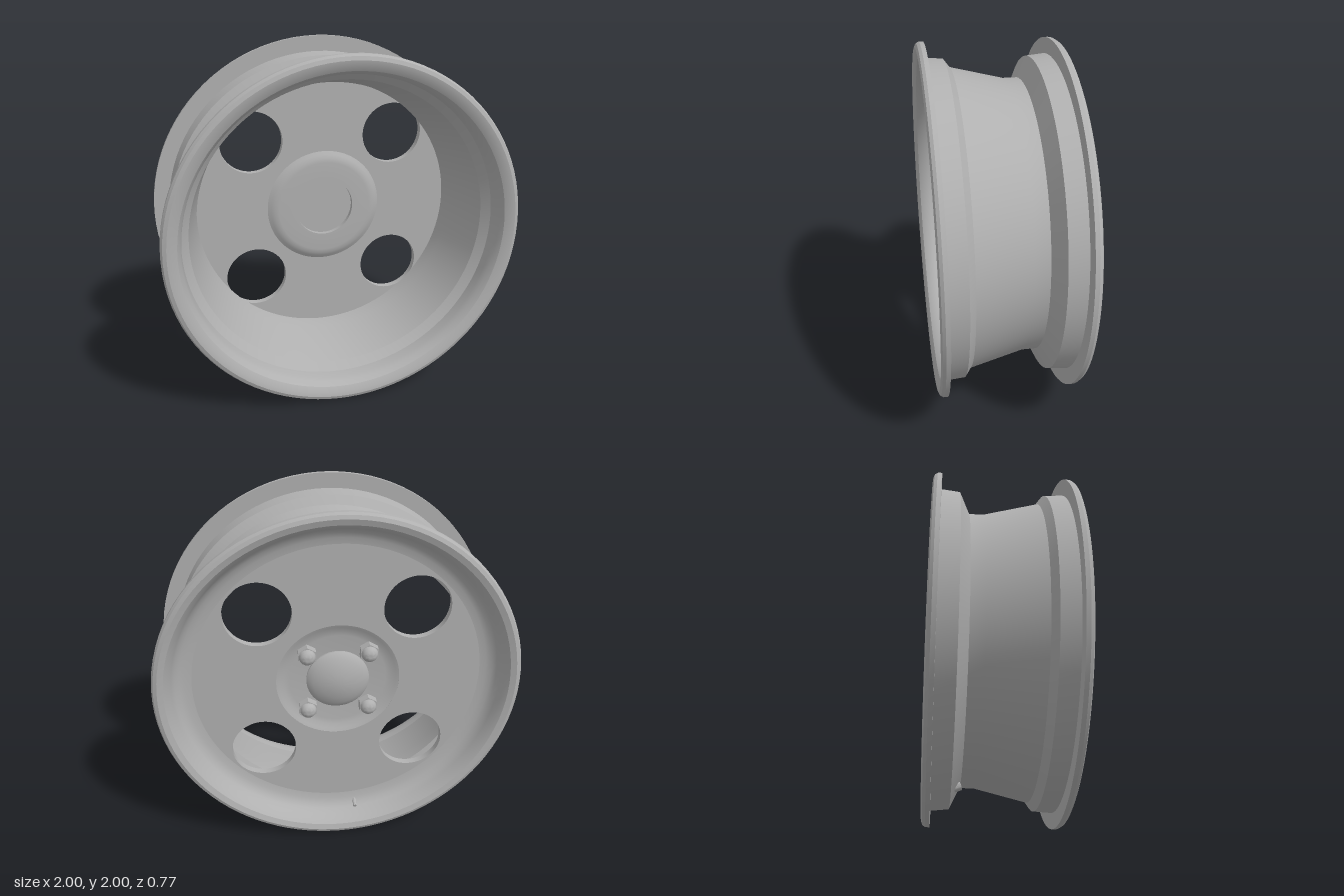
import * as THREE from 'three';
import { toCreasedNormals } from 'three/addons/utils/BufferGeometryUtils.js';

const metal = new THREE.MeshStandardMaterial({ color: 0xb0b0b0 });
metal.name = 'grey metal';

function part(name, geometry, crease = 0.45) {
  const mesh = new THREE.Mesh(toCreasedNormals(geometry, crease), metal);
  mesh.name = name;
  return mesh;
}

// Revolve a [radius, z] profile around the z axis
function revolve(profile, segments = 96) {
  const points = profile.map(([r, z]) => new THREE.Vector2(r, z));
  return new THREE.LatheGeometry(points, segments).rotateX(Math.PI / 2);
}

export function createModel() {
  const model = new THREE.Group();
  model.name = 'wheelRim';
  const wheel = new THREE.Group();
  wheel.name = 'wheel';
  wheel.position.y = 1;
  model.add(wheel);

  // Rim: outer side from back to front, then inner side back again
  wheel.add(part('rim', revolve([
    [0.97, -0.384], [0.99, -0.376], [1, -0.36], [1, -0.337],
    [0.912, -0.337], [0.902, -0.235], [0.785, -0.18], [0.785, -0.1],
    [0.858, 0.2], [0.905, 0.235], [0.912, 0.337],
    [1, 0.337], [1, 0.36], [0.99, 0.376], [0.97, 0.384], [0.945, 0.38],
    [0.915, 0.363], [0.897, 0.335], [0.89, 0.3], [0.888, 0.245],
    [0.845, 0.2], [0.775, -0.1], [0.767, -0.19], [0.8, -0.205],
    [0.8, -0.25], [0.835, -0.256], [0.865, -0.268], [0.887, -0.287],
    [0.902, -0.315], [0.915, -0.348], [0.938, -0.374], [0.97, -0.384],
  ])));

  // Flat disc with four round openings
  const shape = new THREE.Shape().absarc(0, 0, 0.81, 0, Math.PI * 2);
  shape.holes.push(new THREE.Path().absarc(0, 0, 0.343, 0, Math.PI * 2, true));
  for (const x of [-0.427, 0.427]) {
    for (const y of [-0.427, 0.427]) {
      shape.holes.push(new THREE.Path().absarc(x, y, 0.183, 0, Math.PI * 2, true));
    }
  }
  const disc = new THREE.ExtrudeGeometry(shape, { depth: 0.04, bevelEnabled: false, curveSegments: 48 });
  wheel.add(part('disc', disc.translate(0, 0, -0.25)));

  // Hub pressed towards the front, with a central recess
  wheel.add(part('hub', revolve([
    [0, -0.225], [0.27, -0.225], [0.3, -0.23], [0.325, -0.242], [0.345, -0.25],
    [0.345, -0.21], [0.325, -0.198], [0.305, -0.187], [0.28, -0.184],
    [0.175, -0.184], [0.175, -0.212], [0, -0.212],
  ].map(([r, z]) => [r, z])), 0.6));

  // Domed cap on the back of the hub
  wheel.add(part('centreCap', revolve([
    [0, -0.288], [0.05, -0.285], [0.1, -0.274], [0.14, -0.259], [0.165, -0.245],
    [0.175, -0.235], [0.175, -0.22],
  ], 48), 0.6));

  // Four domed hexagonal wheel nuts
  for (const x of [-0.17, 0.17]) {
    for (const y of [-0.17, 0.17]) {
      const nut = new THREE.Group();
      nut.name = 'wheelNut';
      nut.position.set(x, y, -0.225);
      const hex = new THREE.CylinderGeometry(0.056, 0.056, 0.045, 6).rotateX(-Math.PI / 2);
      nut.add(part('nutBody', hex.translate(0, 0, -0.0225)));
      const dome = new THREE.SphereGeometry(0.046, 20, 8, 0, Math.PI * 2, 0, Math.PI / 2);
      nut.add(part('nutDome', dome.scale(1, 0.8, 1).rotateX(-Math.PI / 2).translate(0, 0, -0.044), 0.6));
      wheel.add(nut);
    }
  }

  // Valve stem through the lower back of the rim
  const valve = new THREE.Group();
  valve.name = 'valve';
  valve.position.set(-0.1, -0.83, -0.2);
  valve.rotation.x = -0.35;
  const base = new THREE.CylinderGeometry(0.022, 0.022, 0.04, 16).rotateX(Math.PI / 2);
  const stem = new THREE.CylinderGeometry(0.011, 0.011, 0.1, 12).rotateX(Math.PI / 2);
  valve.add(part('valveBase', base), part('valveStem', stem.translate(0, 0, -0.06)));
  wheel.add(valve);

  return model;
}
